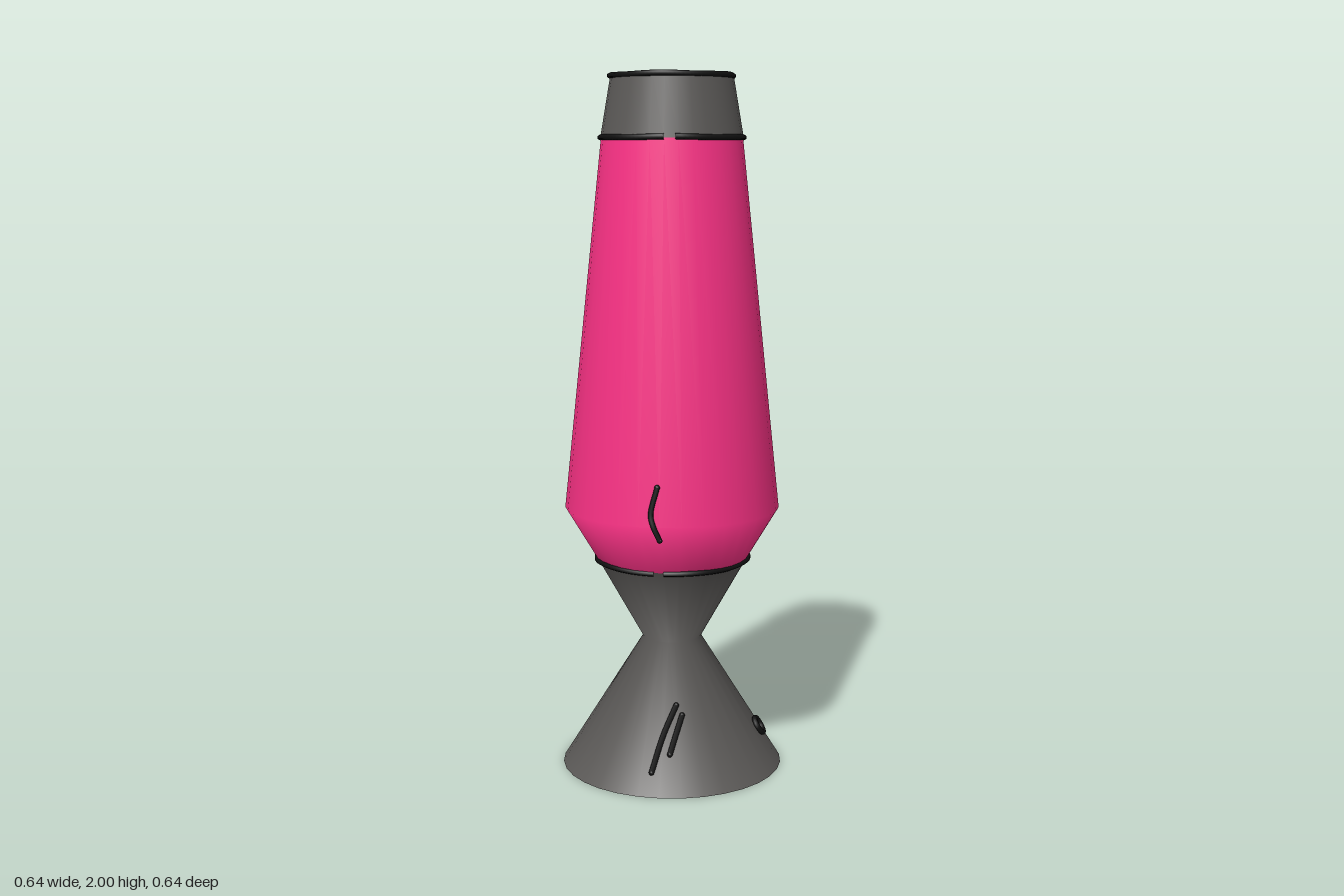
import * as THREE from 'three';

const grey = new THREE.MeshStandardMaterial({ color: 0x5c5a58 });
const pink = new THREE.MeshStandardMaterial({ color: 0xff3388 });
const black = new THREE.MeshStandardMaterial({ color: 0x111111 });
const SIDES = 32;

export function createModel() {
  const lamp = new THREE.Group();
  lamp.name = 'lavaLamp';

  const add = (name, geometry, material) => {
    const mesh = new THREE.Mesh(geometry, material);
    mesh.name = name;
    lamp.add(mesh);
    return mesh;
  };
  // Smooth turned body from [radius, height] points, bottom to top
  const turn = (name, profile, material) =>
    add(name, new THREE.LatheGeometry(profile.map(([r, y]) => new THREE.Vector2(r, y)), SIDES), material);
  // Flat end disc facing up or down
  const disc = (name, r, y, up) => {
    const g = new THREE.CircleGeometry(r, SIDES);
    g.rotateX(up ? -Math.PI / 2 : Math.PI / 2);
    add(name, g.translate(0, y, 0), grey);
  };

  // Hourglass base, glass vessel and metal cap
  turn('base', [[0.322, 0], [0.085, 0.38], [0.22, 0.62]], grey);
  disc('baseBottom', 0.322, 0, false);
  turn('glass', [[0.22, 0.62], [0.31, 0.77], [0.2, 1.82]], pink);
  turn('cap', [[0.202, 1.82], [0.173, 1.99]], grey);
  disc('capTop', 0.173, 1.99, true);

  // Hand-drawn rings: slightly wobbly strokes around each seam, with a small gap
  const ring = (name, r, y, start, gap, phase) => {
    const points = [];
    for (let i = 0; i <= 48; i++) {
      const a = start + gap + (i / 48) * (Math.PI * 2 - gap);
      const w = Math.sin(a * 5 + phase) * 0.002;
      points.push(new THREE.Vector3(Math.sin(a) * (r + w), y + w * 0.5, Math.cos(a) * (r + w)));
    }
    add(name, new THREE.TubeGeometry(new THREE.CatmullRomCurve3(points), 96, 0.008, 6), black);
  };
  ring('lowerRing', 0.22, 0.618, -0.12, 0.12, 0);
  ring('upperRing', 0.201, 1.822, 0, 0.15, 1);
  ring('topRing', 0.172, 1.991, 2.55, 0.05, 2);

  // Short ink strokes lying on the surface
  const stroke = (name, points, closed = false) => {
    const curve = new THREE.CatmullRomCurve3(points, closed);
    add(name, new THREE.TubeGeometry(curve, 24, 0.008, 6, closed), black);
    if (closed) return;
    for (const p of [points[0], points[points.length - 1]])
      add(name + 'End', new THREE.SphereGeometry(0.008, 8, 6).translate(p.x, p.y, p.z), black);
  };
  const baseRadius = (y) => 0.322 - (0.237 * y) / 0.38;
  const onBase = (x, y) => new THREE.Vector3(x, y, Math.sqrt(baseRadius(y) ** 2 - x * x) + 0.002);

  stroke('longHighlight', [onBase(0.032, 0.225), onBase(0, 0.15), onBase(-0.027, 0.06)]);
  stroke('shortHighlight', [onBase(0.05, 0.2), onBase(0.035, 0.15), onBase(0.022, 0.105)]);
  stroke('glassHighlight', [[-0.008, 0.88], [-0.025, 0.805], [-0.016, 0.77], [0, 0.735]].map(
    ([x, y]) => new THREE.Vector3(x, y, y > 0.77 ? 0.31 - (y - 0.77) * 0.08 : 0.312)));

  // Small looped switch on the model's left
  const loop = [];
  for (let i = 0; i < 10; i++) {
    const a = (i / 10) * Math.PI * 2;
    const y = 0.114 + Math.sin(a) * 0.021;
    loop.push(new THREE.Vector3(baseRadius(y) + 0.008, y, 0.008 + Math.cos(a) * 0.024));
  }
  stroke('switchLoop', loop, true);

  return lamp;
}
